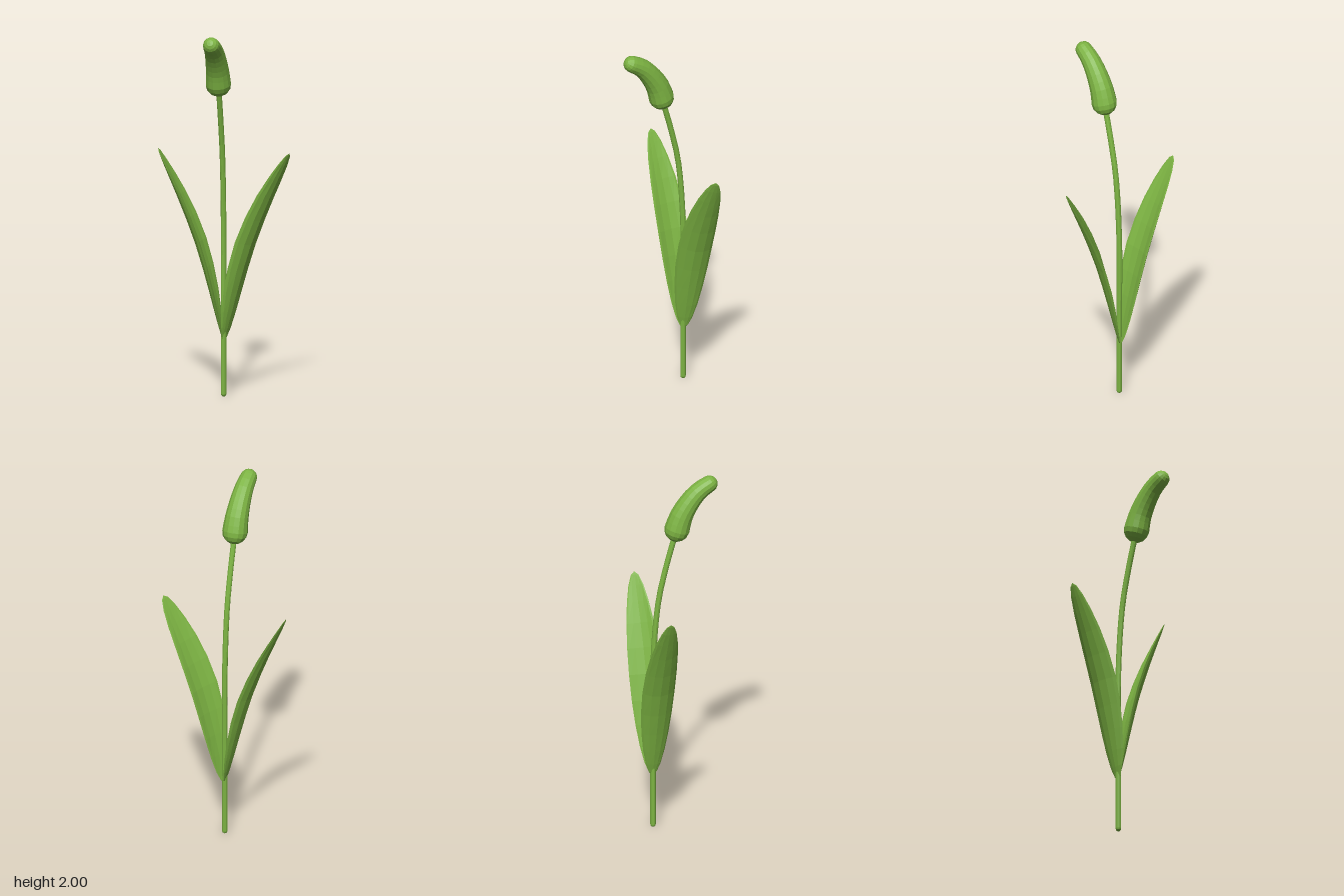
import * as THREE from 'three';

const V = (x, y, z) => new THREE.Vector3(x, y, z);
const green = new THREE.MeshStandardMaterial({ color: 0x7cb342, flatShading: true });

// Skin a list of equal-sized closed rings, each counterclockwise about the path direction
function loft(name, rings) {
  const n = rings[0].length, index = [];
  for (let i = 0; i < rings.length - 1; i++) {
    for (let j = 0; j < n; j++) {
      const a = i * n + j, b = i * n + (j + 1) % n;
      index.push(a, b, b + n, a, b + n, a + n);
    }
  }
  const geometry = new THREE.BufferGeometry().setFromPoints(rings.flat());
  geometry.setIndex(index);
  geometry.computeVertexNormals();
  const mesh = new THREE.Mesh(geometry, green);
  mesh.name = name;
  return mesh;
}

// Tapering round-ended tube along a curve in the x = 0 plane
function roundTube(name, points, r0, r1, sides, steps, capSteps) {
  const curve = new THREE.CatmullRomCurve3(points);
  const rings = [];
  const addRing = (t, shift, r) => {
    const T = curve.getTangentAt(t), S = V(1, 0, 0), N = T.clone().cross(S);
    const c = curve.getPointAt(t).addScaledVector(T, shift);
    rings.push(Array.from({ length: sides }, (_, j) => {
      const a = (j / sides) * Math.PI * 2;
      return c.clone().addScaledVector(S, r * Math.cos(a)).addScaledVector(N, r * Math.sin(a));
    }));
  };
  for (let k = 0; k < capSteps; k++) {
    const a = (k / capSteps) * Math.PI / 2;
    addRing(0, -r0 * Math.cos(a), r0 * Math.sin(a));
  }
  for (let i = 0; i <= steps; i++) addRing(i / steps, 0, r0 + (r1 - r0) * i / steps);
  for (let k = 1; k <= capSteps; k++) {
    const a = (k / capSteps) * Math.PI / 2;
    addRing(1, r1 * Math.sin(a), r1 * Math.cos(a));
  }
  return loft(name, rings);
}

// Cupped, lens-shaped leaf; side is +1 for left, -1 for right
function leaf(name, side, twist) {
  const curve = new THREE.CatmullRomCurve3(
    [[0, 0.3], [0.07, 0.63], [0.13, 0.84], [0.22, 1.06], [0.355, 1.327]]
      .map(([x, y]) => V(side * x, y, -0.134)));
  const steps = 12, sides = 12, rings = [];
  for (let i = 0; i <= steps; i++) {
    const t = (1 - Math.cos((i / steps) * Math.PI)) / 2;
    const T = curve.getTangentAt(t), c = curve.getPointAt(t);
    const S = V(0, 0, 1).applyAxisAngle(T, -twist);
    const N = T.clone().cross(S);
    const f = Math.pow(Math.max(0, Math.sin(Math.PI * t)), 0.5);
    rings.push(Array.from({ length: sides }, (_, j) => {
      const a = (j / sides) * Math.PI * 2, s = Math.sin(a);
      const bulge = 0.012 * f * s + side * 0.03 * f * f * (s * s - 0.5);
      return c.clone().addScaledVector(S, 0.089 * f * Math.cos(a)).addScaledVector(N, bulge);
    }));
  }
  return loft(name, rings);
}

export function createModel() {
  const model = new THREE.Group();
  model.name = 'flower';

  // Stem: straight below, bowing forward near the top
  model.add(roundTube('stem', [
    V(0, 0.015, -0.132), V(0, 0.5, -0.132), V(0, 0.95, -0.131),
    V(0, 1.3, -0.103), V(0, 1.5, -0.06), V(0, 1.7, -0.005),
  ], 0.015, 0.015, 10, 20, 3));

  // Closed bud, curving forward
  model.add(roundTube('bud', [
    V(0, 1.713, 0), V(0, 1.78, 0.021), V(0, 1.86, 0.068),
    V(0, 1.92, 0.122), V(0, 1.954, 0.177),
  ], 0.068, 0.045, 14, 8, 4));

  // Pair of leaves, the left one turned about its own length
  model.add(leaf('leftLeaf', 1, 0.48), leaf('rightLeaf', -1, 0));
  return model;
}
